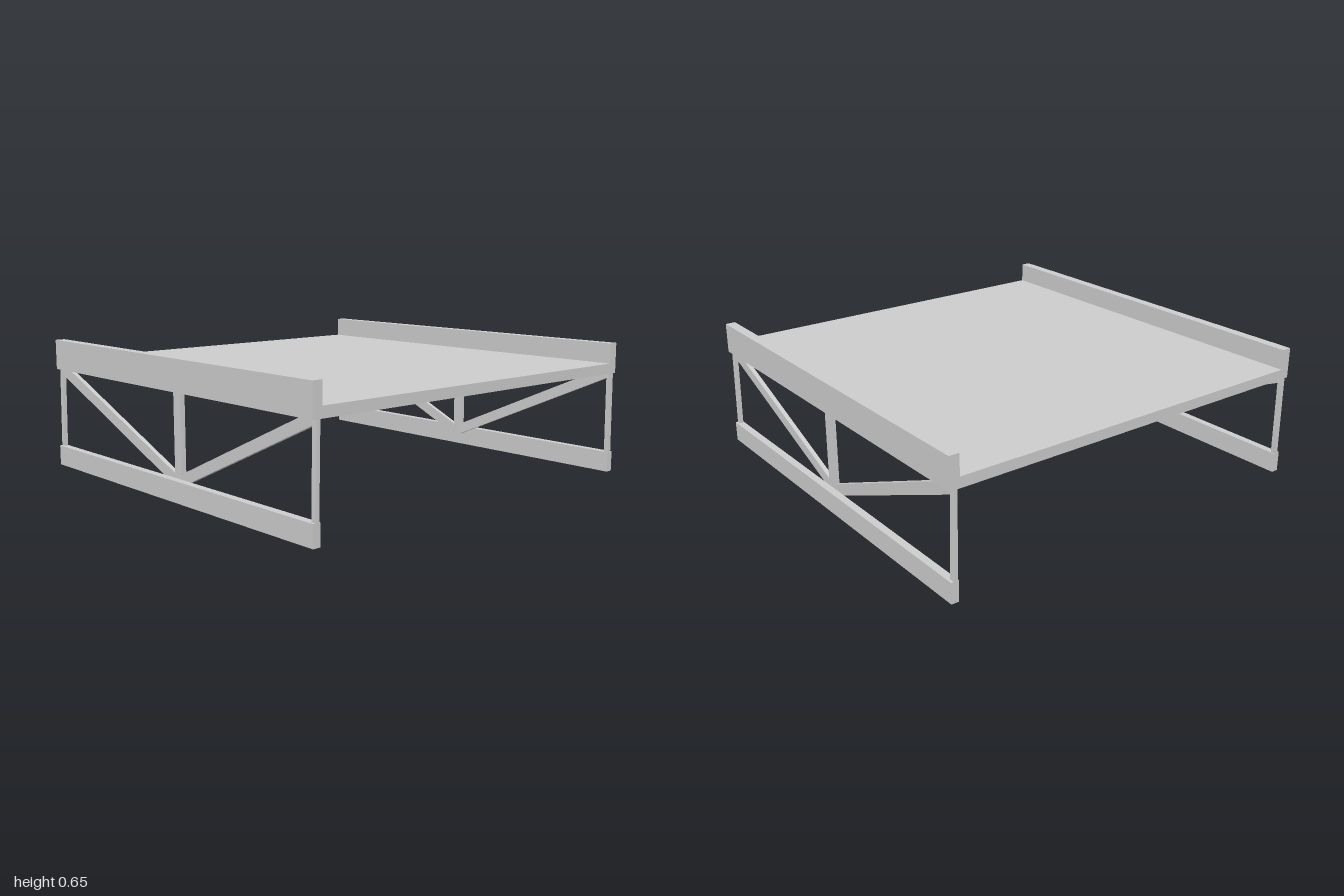
import * as THREE from 'three';

const material = new THREE.MeshStandardMaterial({ color: 0xcccccc, flatShading: true });

// Box given by its [min, max] range on each axis
function block(name, [x0, x1], [y0, y1], [z0, z1]) {
  const mesh = new THREE.Mesh(new THREE.BoxGeometry(x1 - x0, y1 - y0, z1 - z0), material);
  mesh.position.set((x0 + x1) / 2, (y0 + y1) / 2, (z0 + z1) / 2);
  mesh.name = name;
  return mesh;
}

// Straight bar of rectangular section running between two points
function bar(name, a, b, height, depth) {
  const from = new THREE.Vector3(...a), to = new THREE.Vector3(...b);
  const along = to.clone().sub(from);
  const mesh = new THREE.Mesh(new THREE.BoxGeometry(along.length(), height, depth), material);
  const xAxis = along.normalize();
  const zAxis = new THREE.Vector3(0, 0, 1).addScaledVector(xAxis, -xAxis.z).normalize();
  const yAxis = zAxis.clone().cross(xAxis);
  mesh.quaternion.setFromRotationMatrix(new THREE.Matrix4().makeBasis(xAxis, yAxis, zAxis));
  mesh.position.copy(from.add(to).multiplyScalar(0.5));
  mesh.name = name;
  return mesh;
}

export function createModel() {
  const model = new THREE.Group();
  model.name = 'bridgeSection';
  model.add(block('deck', [-1, 1], [0.5, 0.55], [-0.95, 0.95]));

  // One truss along each long side, mirrored front to back
  for (const s of [1, -1]) {
    const truss = new THREE.Group();
    truss.name = s > 0 ? 'frontTruss' : 'backTruss';
    const range = (a, b) => (s > 0 ? [a, b] : [-b, -a]);
    truss.add(
      block('curb', [-1, 1], [0.5, 0.65], range(0.95, 1)),
      block('bottomChord', [-1, 1], [0, 0.1], range(0.963, 1)),
      block('centrePost', [0.003, 0.055], [0.06, 0.5], range(0.932, 0.957)),
      // Diagonals lean inwards towards the foot of the centre post
      bar('rightDiagonal', [-0.975, 0.502, 0.968 * s], [0.01, 0.083, 0.942 * s], 0.055, 0.022),
      bar('leftDiagonal', [0.975, 0.502, 0.968 * s], [0.045, 0.09, 0.942 * s], 0.052, 0.022),
    );
    // Slim, slightly leaning end posts
    for (const x of [-0.988, 0.988]) {
      truss.add(bar('endPost', [x, 0.08, 0.978 * s], [x, 0.51, 0.971 * s], 0.024, 0.02));
    }
    model.add(truss);
  }
  return model;
}
